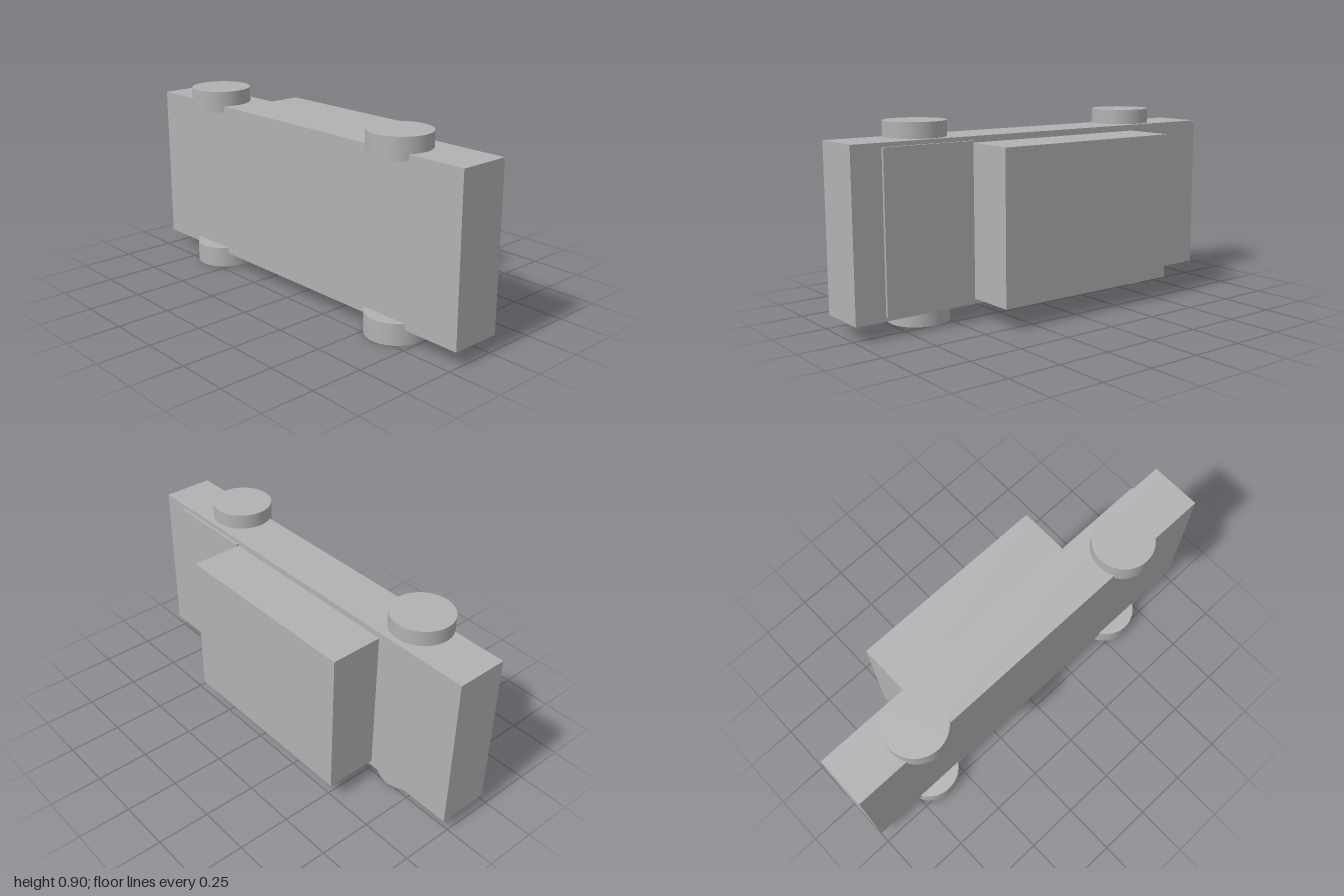
import * as THREE from 'three';

export function createModel() {
  const model = new THREE.Group();
  model.name = 'car';
  const grey = new THREE.MeshStandardMaterial({ color: 0xb2b2b2 });
  grey.name = 'plain grey';

  // Box given by its lower and upper corners
  const addBox = (name, [x0, y0, z0], [x1, y1, z1]) => {
    const mesh = new THREE.Mesh(new THREE.BoxGeometry(x1 - x0, y1 - y0, z1 - z0), grey);
    mesh.position.set((x0 + x1) / 2, (y0 + y1) / 2, (z0 + z1) / 2);
    mesh.name = name;
    model.add(mesh);
  };

  // The car lies on its side: its roof points to -z, its nose to +x
  addBox('body', [-1, 0.072, -0.031], [1, 0.829, 0.213]);
  addBox('cabin', [-0.547, 0.1, -0.28], [0.412, 0.8, -0.031]);
  addBox('bonnet', [0.412, 0.09, -0.044], [0.857, 0.81, -0.031]);

  // Wheels, a pair on each axle, part sunk into the body sides
  const wheelGeometry = new THREE.CylinderGeometry(0.142, 0.142, 0.1, 48);
  for (const [axle, x] of [['rear', -0.623], ['front', 0.598]]) {
    for (const [side, y] of [['Lower', 0.05], ['Upper', 0.85]]) {
      const wheel = new THREE.Mesh(wheelGeometry, grey);
      wheel.position.set(x, y, 0.138);
      wheel.name = `${axle}${side}Wheel`;
      model.add(wheel);
    }
  }
  return model;
}
